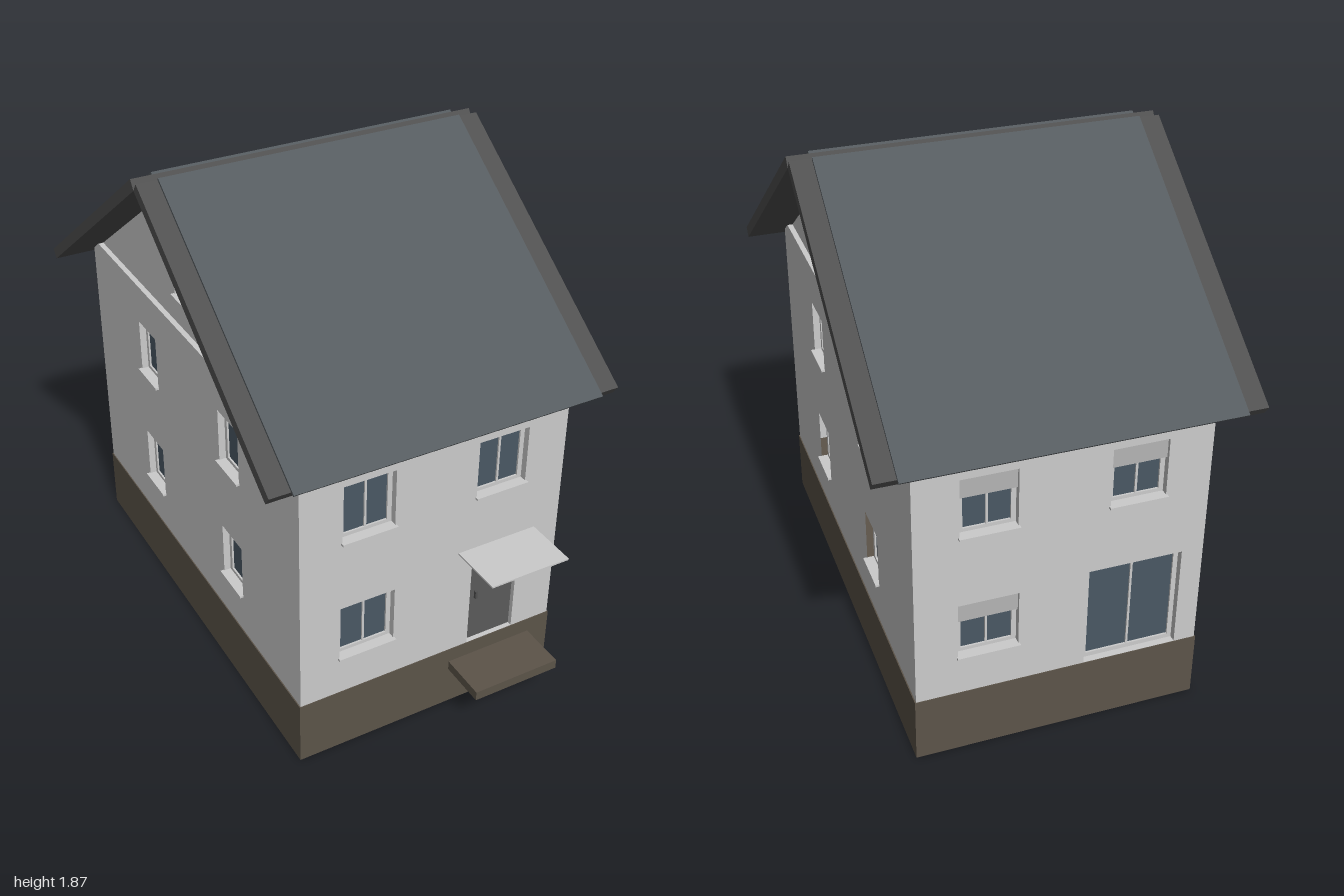
import * as THREE from 'three';

const mat = (color) => new THREE.MeshStandardMaterial({ color });
const WALL = mat(0xcccccc), BASE = mat(0x5c5449), ROOF = mat(0x555b5f), TRIM = mat(0x505050);
const GLASS = mat(0x4a5864), DOOR = mat(0x5a5a5a), SHUTTER = mat(0xb4b4b4);
const RIDGE_Z = -0.055, THICK = 0.05;

function box(parent, name, material, w, h, d, x, y, z) {
  const mesh = new THREE.Mesh(new THREE.BoxGeometry(w, h, d), material);
  mesh.name = name;
  mesh.position.set(x, y, z);
  parent.add(mesh);
  return mesh;
}

function shapeOf(points, holes = []) {
  const shape = new THREE.Shape(points.map(([x, y]) => new THREE.Vector2(x, y)));
  for (const { u, y, w, h } of holes) {
    const a = u - w / 2, b = u + w / 2, c = y - h / 2, d = y + h / 2;
    shape.holes.push(new THREE.Path([[a, c], [a, d], [b, d], [b, c]].map((p) => new THREE.Vector2(...p))));
  }
  return shape;
}

function extrude(parent, name, material, shape, depth, z) {
  const geometry = new THREE.ExtrudeGeometry(shape, { depth, bevelEnabled: false });
  const mesh = new THREE.Mesh(geometry, material);
  mesh.name = name;
  mesh.position.z = z;
  parent.add(mesh);
  return mesh;
}

// Recessed window: frame, glass, optional mullion, sill and half-lowered shutter
function addWindow(side, face, { u, y, w, h, double, shutter, sill = true }) {
  const g = new THREE.Group();
  g.name = 'window';
  g.position.set(u, y, face);
  const frame = shapeOf(
    [[-w / 2, -h / 2], [w / 2, -h / 2], [w / 2, h / 2], [-w / 2, h / 2]],
    [{ u: 0, y: 0, w: w - 0.034, h: h - 0.034 }]
  );
  extrude(g, 'windowFrame', WALL, frame, 0.015, -0.04);
  box(g, 'glass', GLASS, w, h, 0.01, 0, 0, -0.037);
  if (double) box(g, 'mullion', WALL, 0.008, h - 0.03, 0.012, 0, 0, -0.032);
  if (sill) box(g, 'sill', WALL, w + 0.01, 0.008, 0.04, 0, -h / 2, -0.006);
  if (shutter) box(g, 'rollerShutter', SHUTTER, w, h * 0.35, 0.012, 0, h * 0.325, -0.018);
  side.add(g);
}

// One facade, drawn facing +z and then turned to its side of the house
function addSide(house, name, angle, face, outline, openings) {
  const side = new THREE.Group();
  side.name = name;
  side.rotation.y = angle;
  extrude(side, 'wall', WALL, shapeOf(outline, openings), THICK, face - THICK);
  for (const o of openings) if (!o.door) addWindow(side, face, o);
  house.add(side);
  return side;
}

const rect = (w, y0, y1) => [[-w, y0], [w, y0], [w, y1], [-w, y1]];

export function createModel() {
  const house = new THREE.Group();
  house.name = 'house';

  // Plinth
  box(house, 'plinth', BASE, 1.024, 0.247, 1.706, 0, 0.1235, -0.05);

  // Front: three windows and the entrance
  const longWall = rect(0.508, 0.24, 1.222);
  const upper = { y: 0.996, w: 0.195, h: 0.22, double: true };
  const lower = { y: 0.508, w: 0.21, h: 0.215, double: true };
  const front = addSide(house, 'frontSide', 0, 0.8, longWall, [
    { ...upper, u: -0.255 },
    { ...upper, u: 0.255 },
    { ...lower, u: -0.255 },
    { door: true, u: 0.254, y: 0.43, w: 0.19, h: 0.364 },
  ]);
  box(front, 'door', DOOR, 0.19, 0.366, 0.015, 0.254, 0.43, 0.775);
  box(front, 'doorHandle', TRIM, 0.008, 0.03, 0.012, 0.193, 0.445, 0.787);
  box(front, 'canopy', WALL, 0.31, 0.006, 0.2, 0.255, 0.67, 0.9);
  box(front, 'doorStep', BASE, 0.34, 0.036, 0.18, 0.255, 0.173, 0.89);

  // Back: shuttered windows and a patio door
  addSide(house, 'backSide', Math.PI, 0.9, longWall, [
    { ...upper, u: -0.255, shutter: true },
    { ...upper, u: 0.255, shutter: true },
    { ...lower, u: -0.255, shutter: true },
    { u: 0.26, y: 0.443, w: 0.34, h: 0.39, double: true, sill: false },
  ]);

  // Gable ends, mirrored left and right; the attic triangle is set back a little
  for (const s of [1, -1]) {
    const u = (z) => -s * z;
    const outline = [[0.8, 0.24], [0.8, 1.222], [0.75, 1.26], [-0.85, 1.26], [-0.9, 1.222], [-0.9, 0.24]];
    const openings = [];
    for (const z of [0.292, -0.392])
      for (const y of [1.002, 0.515]) openings.push({ u: u(z), y, w: 0.153, h: 0.208 });
    const angle = (s * Math.PI) / 2;
    addSide(house, s > 0 ? 'leftSide' : 'rightSide', angle, 0.508, outline.map(([z, y]) => [u(z), y]), openings);
    const attic = [[0.755, 1.25], [RIDGE_Z, 1.83], [-0.865, 1.25]];
    addSide(house, s > 0 ? 'leftGable' : 'rightGable', angle, 0.488, attic.map(([z, y]) => [u(z), y]), [
      { u: u(-0.05), y: 1.466, w: 0.2, h: 0.202, double: true },
    ]);
  }

  // Roof: two square-ended slabs with a narrower raised tile layer on each
  const slab = [[0, 1.826], [0.905, 1.18], [0.928, 1.212], [0.023, 1.858]];
  const tiles = [[0.023, 1.858], [0.94, 1.2035], [0.945, 1.21], [0.028, 1.865]];
  for (const s of [1, -1]) {
    const slope = new THREE.Group();
    slope.name = s > 0 ? 'frontRoof' : 'backRoof';
    slope.position.z = RIDGE_Z;
    slope.rotation.y = (-s * Math.PI) / 2;
    extrude(slope, 'roofSlab', TRIM, shapeOf(slab), 1.29, -0.645);
    extrude(slope, 'roofTiles', ROOF, shapeOf(tiles), 1.14, -0.57);
    house.add(slope);
  }
  return house;
}
